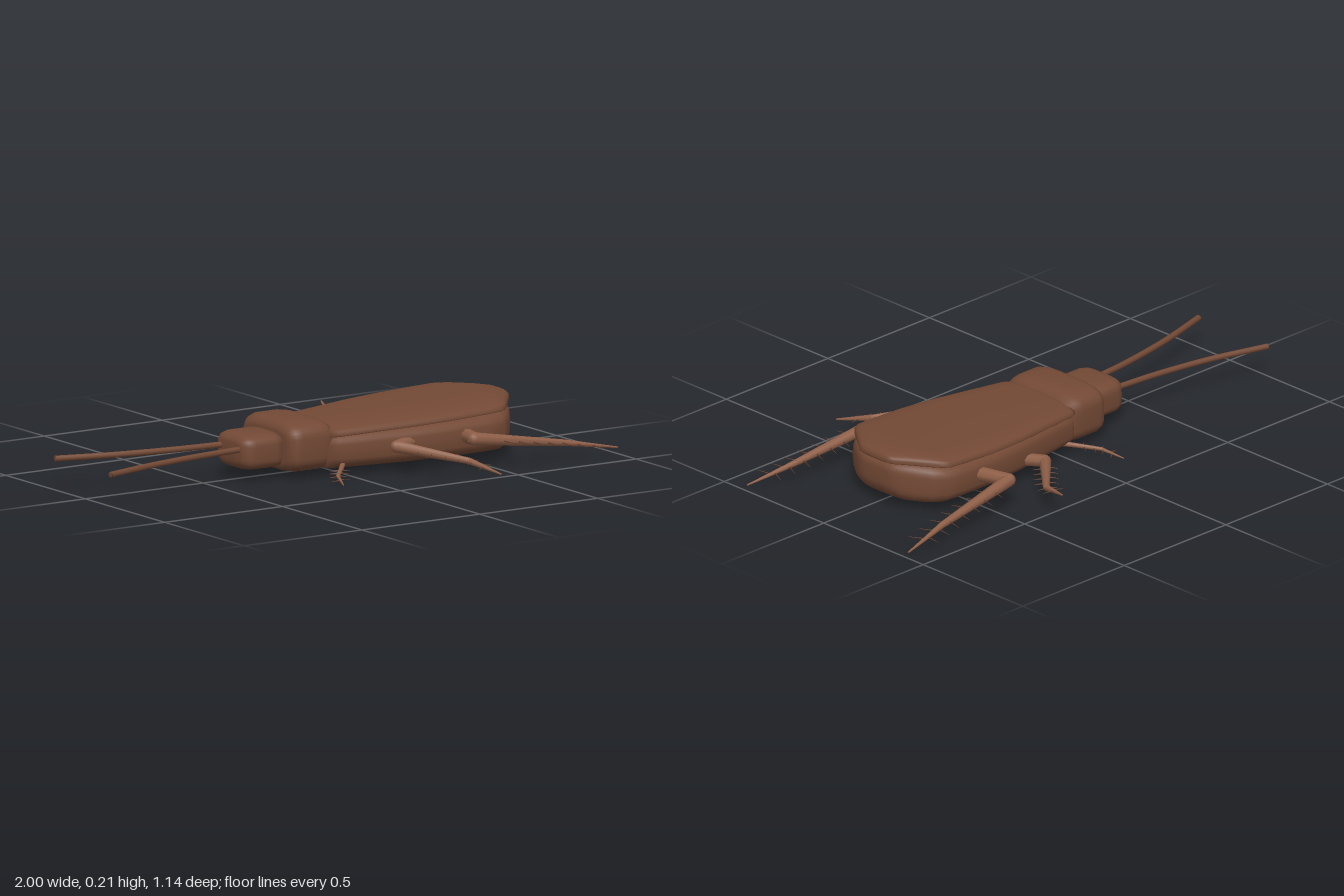
import * as THREE from 'three';

const UP = new THREE.Vector3(0, 1, 0);
const shell = new THREE.MeshStandardMaterial({ color: 0x734935 });
shell.name = 'shellBrown';
const limb = new THREE.MeshStandardMaterial({ color: 0x8f5f48 });
limb.name = 'legBrown';
const bristle = new THREE.MeshStandardMaterial({ color: 0x6a4433 });
bristle.name = 'spineBrown';

// Closed skin over superellipse sections [x, halfWidth, bottom, top] running along x;
// mid is the relative height of the widest line, n the squareness
function loft(name, sections, mid, n, zc, seg = 40) {
  const pos = [], idx = [];
  const pw = (v) => Math.sign(v) * Math.abs(v) ** (2 / n);
  for (const [x, hw, y0, y1] of sections) {
    const ym = y0 + (y1 - y0) * mid;
    for (let j = 0; j < seg; j++) {
      const a = (j / seg) * Math.PI * 2, s = pw(Math.sin(a));
      pos.push(x, ym + s * (s > 0 ? y1 - ym : ym - y0), zc + hw * pw(Math.cos(a)));
    }
  }
  const last = (sections.length - 1) * seg, c0 = last + seg;
  for (const [x, , y0, y1] of [sections[0], sections[sections.length - 1]]) pos.push(x, y0 + (y1 - y0) * mid, zc);
  for (let i = 0; i < sections.length - 1; i++) {
    for (let j = 0; j < seg; j++) {
      const k = (j + 1) % seg, a = i * seg + j, b = a + seg, c = i * seg + k, d = c + seg;
      idx.push(a, b, c, b, d, c);
    }
  }
  for (let j = 0; j < seg; j++) {
    const k = (j + 1) % seg;
    idx.push(c0, j, k, c0 + 1, last + k, last + j);
  }
  const g = new THREE.BufferGeometry();
  g.setAttribute('position', new THREE.Float32BufferAttribute(pos, 3));
  g.setIndex(idx);
  g.computeVertexNormals();
  const m = new THREE.Mesh(g, shell);
  m.name = name;
  return m;
}

// Tapered rod between two points
function rod(name, a, b, r0, r1, mat, sides) {
  const d = b.clone().sub(a);
  const m = new THREE.Mesh(new THREE.CylinderGeometry(r1, r0, d.length(), sides), mat);
  m.position.copy(a).addScaledVector(d, 0.5);
  m.quaternion.setFromUnitVectors(UP, d.normalize());
  m.name = name;
  return m;
}

// Jointed leg: points from body to tip, radius at each point, spines along both edges
function leg(name, points, radii, spineCount, spineLength) {
  const g = new THREE.Group();
  g.name = name;
  const p = points.map((q) => new THREE.Vector3(...q));
  for (let i = 0; i < p.length - 1; i++) {
    g.add(rod('segment', p[i], p[i + 1], radii[i], radii[i + 1], limb, 8));
    if (i > 0) {
      const joint = new THREE.Mesh(new THREE.SphereGeometry(radii[i], 8, 6), limb);
      joint.position.copy(p[i]);
      joint.name = 'joint';
      g.add(joint);
    }
  }
  const path = new THREE.CurvePath();
  for (let i = 1; i < p.length - 1; i++) path.add(new THREE.LineCurve3(p[i], p[i + 1]));
  for (let k = 0; k < spineCount; k++) {
    for (const side of [-1, 1]) {
      const t = 0.16 + (0.74 * (k + (side > 0 ? 0.25 : 0))) / spineCount;
      const at = path.getPointAt(t), dir = path.getTangentAt(t);
      const out = new THREE.Vector3().crossVectors(dir, UP).normalize().multiplyScalar(side);
      out.addScaledVector(dir, 0.25).normalize();
      const end = at.clone().addScaledVector(out, spineLength);
      g.add(rod('spine', at, end, 0.003, 0.0008, bristle, 4));
    }
  }
  return g;
}

export function createModel() {
  const model = new THREE.Group();
  model.name = 'beetleLikeInsect';

  // Body
  model.add(loft('head', [
    [-0.38, 0.06, 0.07, 0.135], [-0.376, 0.08, 0.055, 0.15], [-0.36, 0.098, 0.043, 0.16],
    [-0.335, 0.108, 0.038, 0.165], [-0.25, 0.108, 0.038, 0.165], [-0.2, 0.1, 0.043, 0.16],
  ], 0.5, 4, -0.012));
  model.add(loft('thorax', [
    [-0.226, 0.125, 0.05, 0.165], [-0.222, 0.15, 0.035, 0.183], [-0.205, 0.167, 0.025, 0.197],
    [-0.18, 0.175, 0.02, 0.205], [-0.1, 0.175, 0.02, 0.205], [-0.068, 0.172, 0.022, 0.2],
    [-0.048, 0.163, 0.028, 0.188], [-0.042, 0.14, 0.04, 0.17],
  ], 0.5, 4, -0.012));
  model.add(loft('abdomen', [
    [-0.08, 0.165, 0.025, 0.15], [-0.04, 0.182, 0.018, 0.16], [0.1, 0.205, 0.016, 0.165],
    [0.25, 0.232, 0.015, 0.17], [0.4, 0.247, 0.015, 0.175], [0.55, 0.247, 0.015, 0.178],
    [0.62, 0.238, 0.015, 0.18], [0.66, 0.206, 0.018, 0.18], [0.7, 0.155, 0.026, 0.178],
    [0.728, 0.112, 0.042, 0.172], [0.742, 0.08, 0.065, 0.16], [0.746, 0.05, 0.085, 0.145],
  ], 0.5, 3.6, -0.004));
  model.add(loft('wingCover', [
    [-0.07, 0.17, 0.138, 0.178], [-0.04, 0.184, 0.139, 0.181], [0.1, 0.206, 0.145, 0.188],
    [0.25, 0.23, 0.151, 0.195], [0.4, 0.243, 0.157, 0.201], [0.55, 0.242, 0.163, 0.207],
    [0.61, 0.238, 0.166, 0.21], [0.635, 0.225, 0.167, 0.211], [0.66, 0.197, 0.169, 0.212],
    [0.71, 0.131, 0.172, 0.211], [0.745, 0.085, 0.174, 0.207], [0.755, 0.065, 0.178, 0.2],
  ], 0.2, 3, -0.006));

  // Antennae
  const feelers = [
    [[-0.34, -0.065], [-0.55, -0.085], [-0.78, -0.125], [-1, -0.187]],
    [[-0.34, 0.04], [-0.55, 0.06], [-0.78, 0.1], [-1, 0.158]],
  ];
  feelers.forEach((pts, i) => {
    const curve = new THREE.CatmullRomCurve3(pts.map(([x, z]) => new THREE.Vector3(x, 0.115, z)));
    const m = new THREE.Mesh(new THREE.TubeGeometry(curve, 24, 0.011, 8), shell);
    m.name = i ? 'leftAntenna' : 'rightAntenna';
    model.add(m);
    const cap = new THREE.Mesh(new THREE.SphereGeometry(0.011, 8, 6), shell);
    cap.scale.x = 0.1;
    cap.position.copy(curve.getPoint(1));
    cap.name = 'antennaTip';
    model.add(cap);
  });

  // Legs
  const front = [0.011, 0.009, 0.007, 0.002], middle = [0.024, 0.022, 0.012, 0.003], rear = [0.028, 0.024, 0.012, 0.003];
  model.add(
    leg('frontLegRight', [[0, 0.045, -0.15], [-0.04, 0.038, -0.19], [-0.11, 0.024, -0.265], [-0.14, 0.004, -0.345]], front, 4, 0.035),
    leg('frontLegLeft', [[0, 0.045, 0.14], [-0.04, 0.038, 0.19], [-0.11, 0.028, 0.27], [-0.14, 0.012, 0.35]], front, 4, 0.035),
    leg('middleLegRight', [[0.25, 0.08, -0.2], [0.16, 0.06, -0.255], [0.34, 0.075, -0.445], [0.385, 0.1, -0.57]], middle, 6, 0.045),
    leg('middleLegLeft', [[0.25, 0.1, 0.2], [0.155, 0.1, 0.245], [0.335, 0.06, 0.435], [0.385, 0.028, 0.565]], middle, 6, 0.045),
    leg('rearLegRight', [[0.47, 0.1, -0.22], [0.44, 0.108, -0.36], [0.8, 0.058, -0.392], [1, 0.025, -0.425]], rear, 7, 0.065),
    leg('rearLegLeft', [[0.47, 0.1, 0.2], [0.435, 0.108, 0.32], [0.8, 0.058, 0.35], [1, 0.025, 0.385]], rear, 7, 0.065),
  );
  return model;
}
